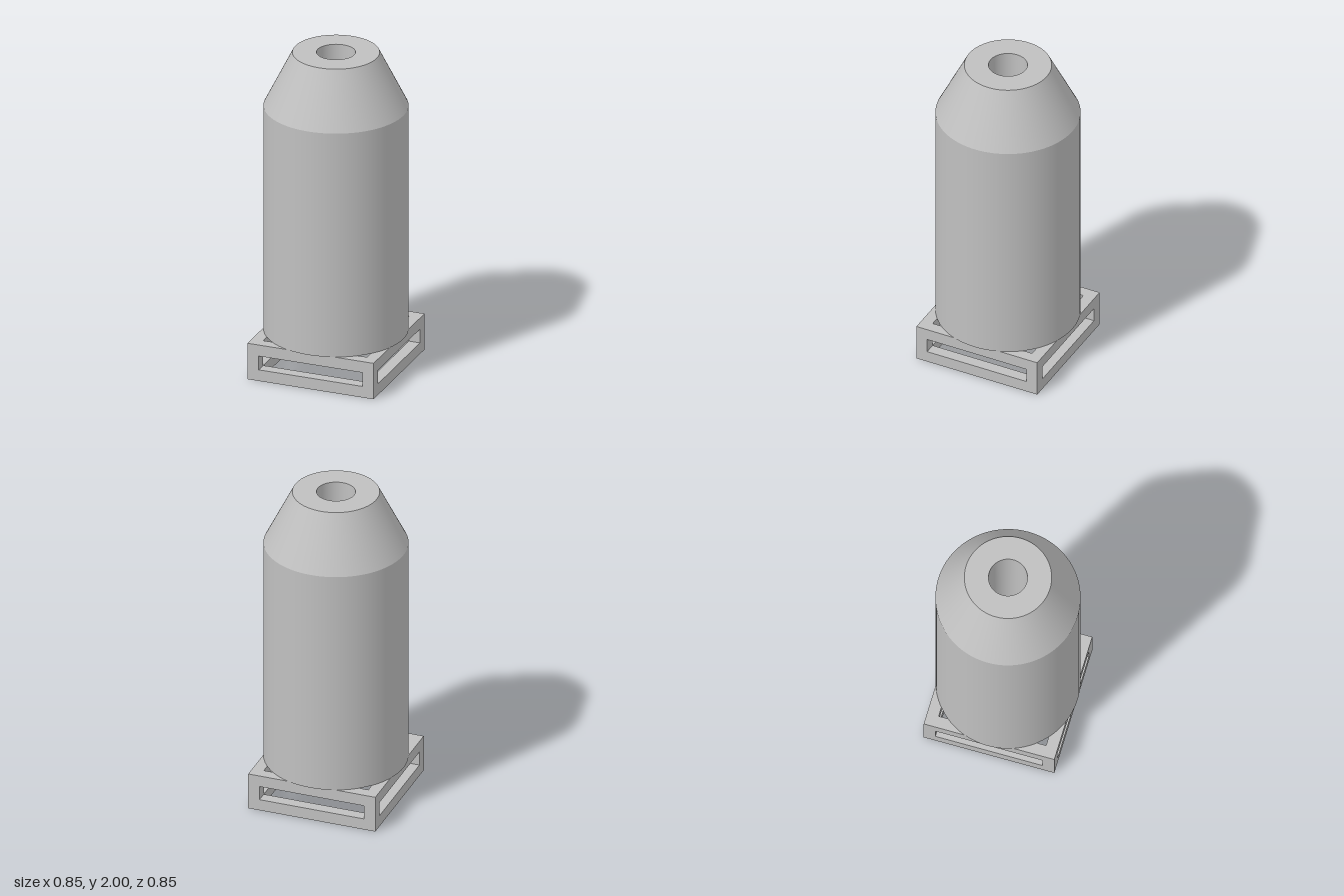
import * as THREE from 'three';
import { mergeGeometries } from 'three/addons/utils/BufferGeometryUtils.js';

const HALF = 0.4, BAR = 0.071, HEIGHT = 0.23;

// Revolve each profile segment separately so the rims stay sharp
function turnedSolid(profile) {
  const parts = [];
  profile.forEach(([r, y], i) => {
    const [r2, y2] = profile[(i + 1) % profile.length];
    parts.push(new THREE.LatheGeometry([new THREE.Vector2(r, y), new THREE.Vector2(r2, y2)], 96));
  });
  return mergeGeometries(parts);
}

function square(path, h) {
  path.moveTo(-h, -h);
  path.lineTo(h, -h);
  path.lineTo(h, h);
  path.lineTo(-h, h);
  path.closePath();
  return path;
}

export function createModel() {
  const model = new THREE.Group();
  const grey = new THREE.MeshStandardMaterial({ color: 0xc0c0c0 });
  grey.name = 'plain grey';

  const add = (parent, name, geometry, x = 0, y = 0, z = 0) => {
    const mesh = new THREE.Mesh(geometry, grey);
    mesh.name = name;
    mesh.position.set(x, y, z);
    parent.add(mesh);
  };

  // Body with conical ends and a slightly tapered bore
  add(model, 'body', turnedSolid([
    [0.094, 0.09], [0.106, 0.09], [0.427, 0.23], [0.427, 1.66], [0.257, 2], [0.115, 2],
  ]));

  // Open box stand: two square rings joined by corner posts
  const stand = new THREE.Group();
  stand.name = 'stand';
  const outline = square(new THREE.Shape(), HALF);
  outline.holes.push(square(new THREE.Path(), HALF - BAR));
  const ring = new THREE.ExtrudeGeometry(outline, { depth: BAR, bevelEnabled: false });
  ring.rotateX(-Math.PI / 2);
  add(stand, 'bottomRing', ring);
  add(stand, 'topRing', ring, 0, HEIGHT - BAR, 0);

  const postHeight = HEIGHT - 2 * BAR;
  const post = new THREE.BoxGeometry(BAR, postHeight, BAR);
  const offset = HALF - BAR / 2;
  for (const sx of [-1, 1])
    for (const sz of [-1, 1])
      add(stand, 'cornerPost', post, sx * offset, HEIGHT / 2, sz * offset);
  model.add(stand);

  return model;
}
